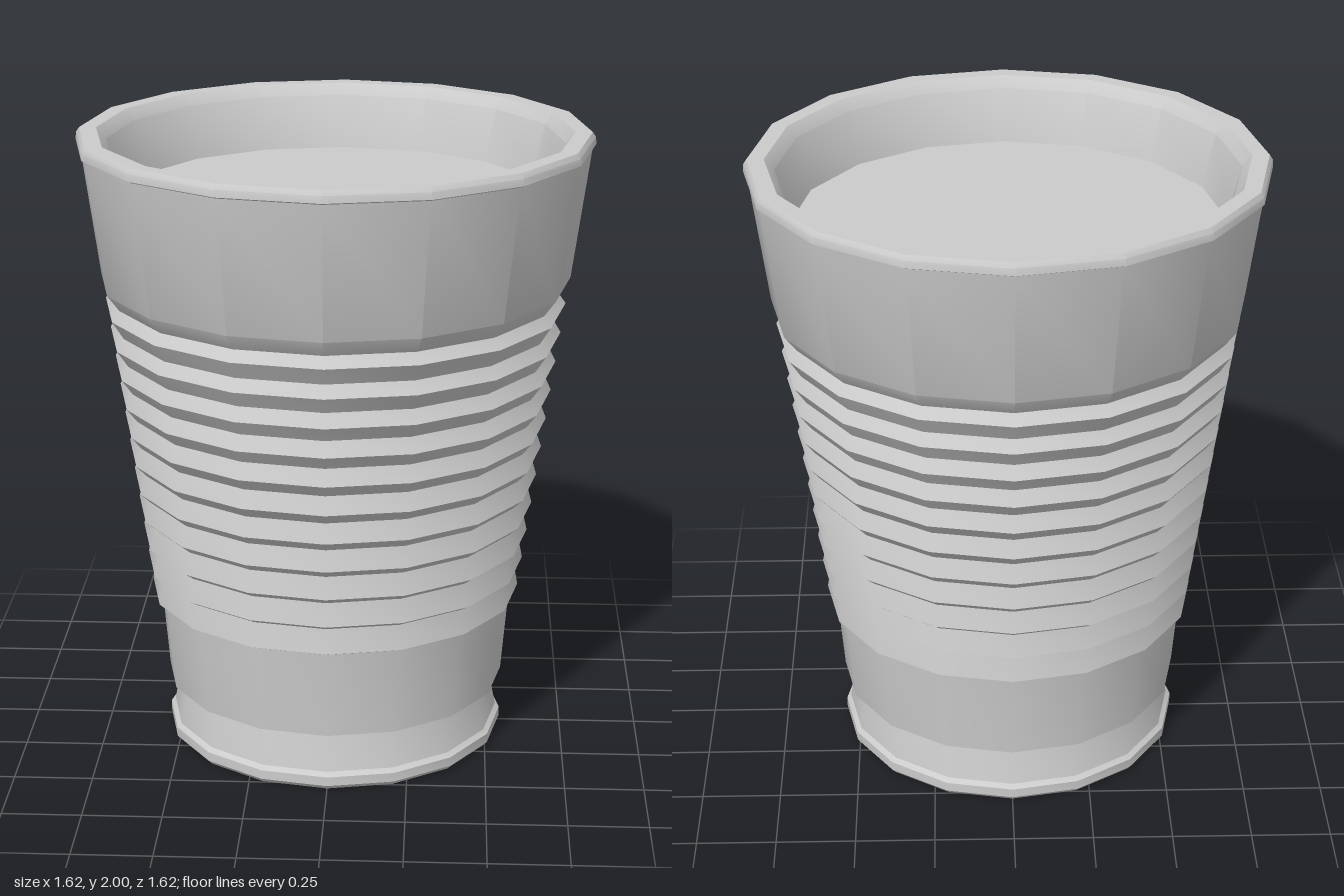
import * as THREE from 'three';
import { toCreasedNormals } from 'three/addons/utils/BufferGeometryUtils.js';

const SIDES = 16;

export function createModel() {
  const group = new THREE.Group();
  const material = new THREE.MeshStandardMaterial({ color: 0xcccccc });

  const add = (name, geometry) => {
    const mesh = new THREE.Mesh(geometry, material);
    mesh.name = name;
    group.add(mesh);
    return mesh;
  };
  const turned = (name, profile) => add(name, toCreasedNormals(
    new THREE.LatheGeometry(profile.map(([r, y]) => new THREE.Vector2(r, y)), SIDES), 0.5));

  // Foot with a rolled bead, a recessed neck and a step out to the lower band
  turned('foot', [[0.535, 0], [0.549, 0.015], [0.549, 0.045], [0.535, 0.058], [0.51, 0.19], [0.55, 0.19]]);
  turned('lowerBand', [[0.55, 0.19], [0.574, 0.48]]);

  // Ribs: each flares out sharply, then slopes back to the next groove
  const ribs = 11;
  const groove = i => [0.574 + 0.012 * i, 0.478 + 0.0915 * i];
  const tip = i => [0.6 + 0.013 * i, 0.49 + 0.096 * i];
  const ribProfile = [];
  for (let i = 0; i < ribs; i++) ribProfile.push(groove(i), tip(i));
  ribProfile.push(groove(ribs));
  turned('ribs', ribProfile);

  // Upper wall
  turned('upperBand', [groove(ribs), [0.743, 1.535], [0.8, 1.958]]);

  // Lip and inner wall down to the drink
  turned('rim', [[0.8, 1.958], [0.81, 1.963], [0.808, 1.985], [0.798, 2], [0.745, 2], [0.715, 1.965], [0.67, 1.79]]);

  // Flat discs: underside and drink surface
  add('base', new THREE.CircleGeometry(0.535, SIDES)).rotation.x = Math.PI / 2;
  const drink = add('drinkSurface', new THREE.CircleGeometry(0.672, SIDES));
  drink.rotation.x = -Math.PI / 2;
  drink.position.y = 1.795;

  return group;
}
